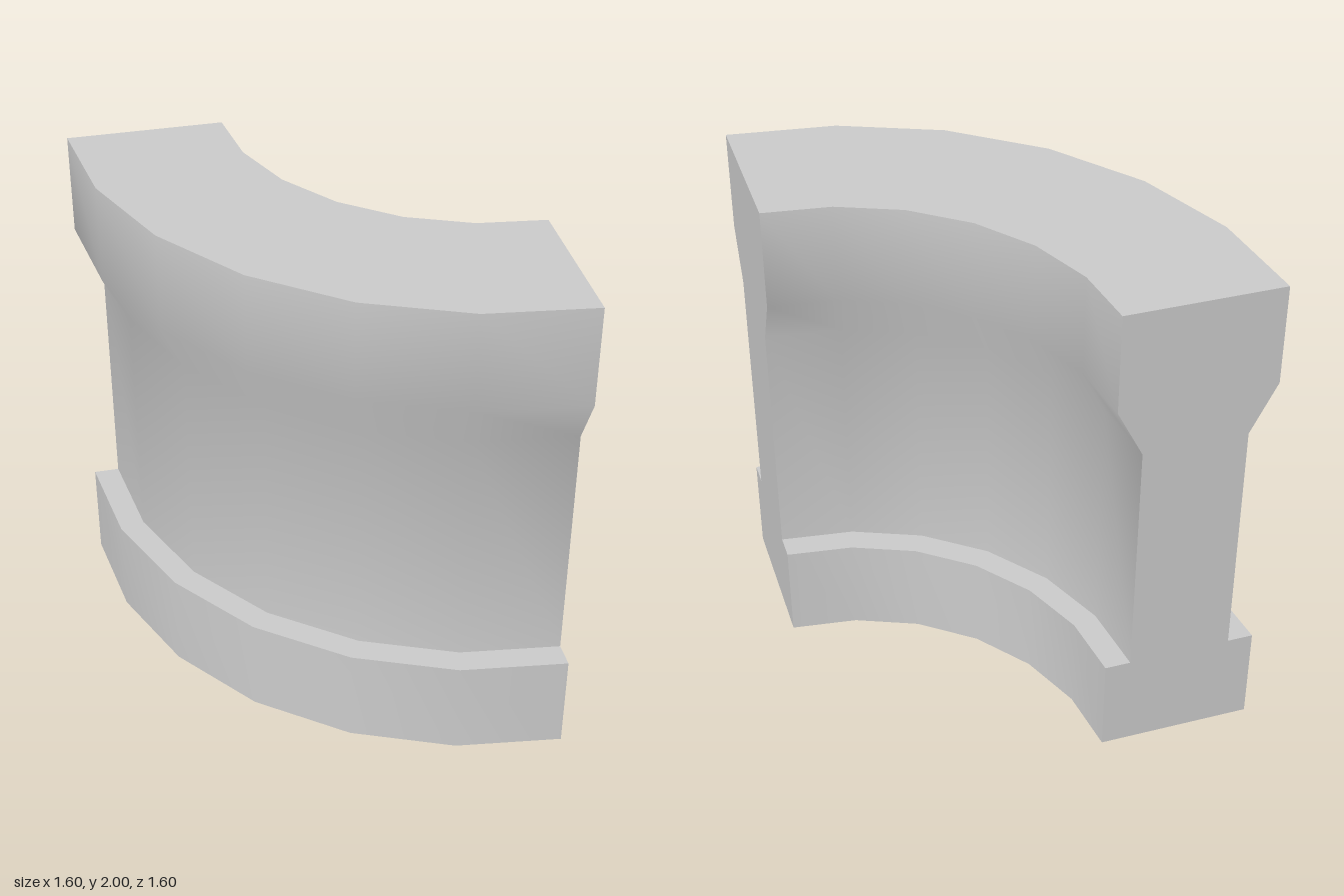
import * as THREE from 'three';
import { toCreasedNormals } from 'three/addons/utils/BufferGeometryUtils.js';

// Wall cross-section as [radius, height]: up the outside, down the inside
const PROFILE = [
  [1.6, 0], [1.6, 0.4], [1.5, 0.4], [1.5, 1.4], [1.6, 1.6], [1.6, 2],
  [1.0, 2], [1.0, 1.6], [1.1, 1.4], [1.1, 0.4], [1.0, 0.4], [1.0, 0],
];

export function createModel() {
  const group = new THREE.Group();
  group.name = 'quarterRingWall';
  const stone = new THREE.MeshStandardMaterial({ color: 0xcccccc });
  stone.name = 'light grey';

  const add = (name, geometry) => {
    const mesh = new THREE.Mesh(geometry, stone);
    mesh.name = name;
    mesh.position.set(0.8, 0, -0.8); // centre of the arc
    group.add(mesh);
    return mesh;
  };

  // Curved wall: closed profile swept through a quarter turn
  const loop = [...PROFILE, PROFILE[0]].map(([r, y]) => new THREE.Vector2(r, y));
  const sweep = new THREE.LatheGeometry(loop, 6, Math.PI * 1.5, Math.PI / 2);
  add('curvedWall', toCreasedNormals(sweep, THREE.MathUtils.degToRad(40)));

  // Flat ends closing the sweep
  const endFace = (sign) => new THREE.ShapeGeometry(
    new THREE.Shape(PROFILE.map(([r, y]) => new THREE.Vector2(sign * r, y))));
  add('leftEnd', endFace(-1)).rotation.y = Math.PI / 2;
  add('backEnd', endFace(1)).rotation.y = Math.PI;

  return group;
}
